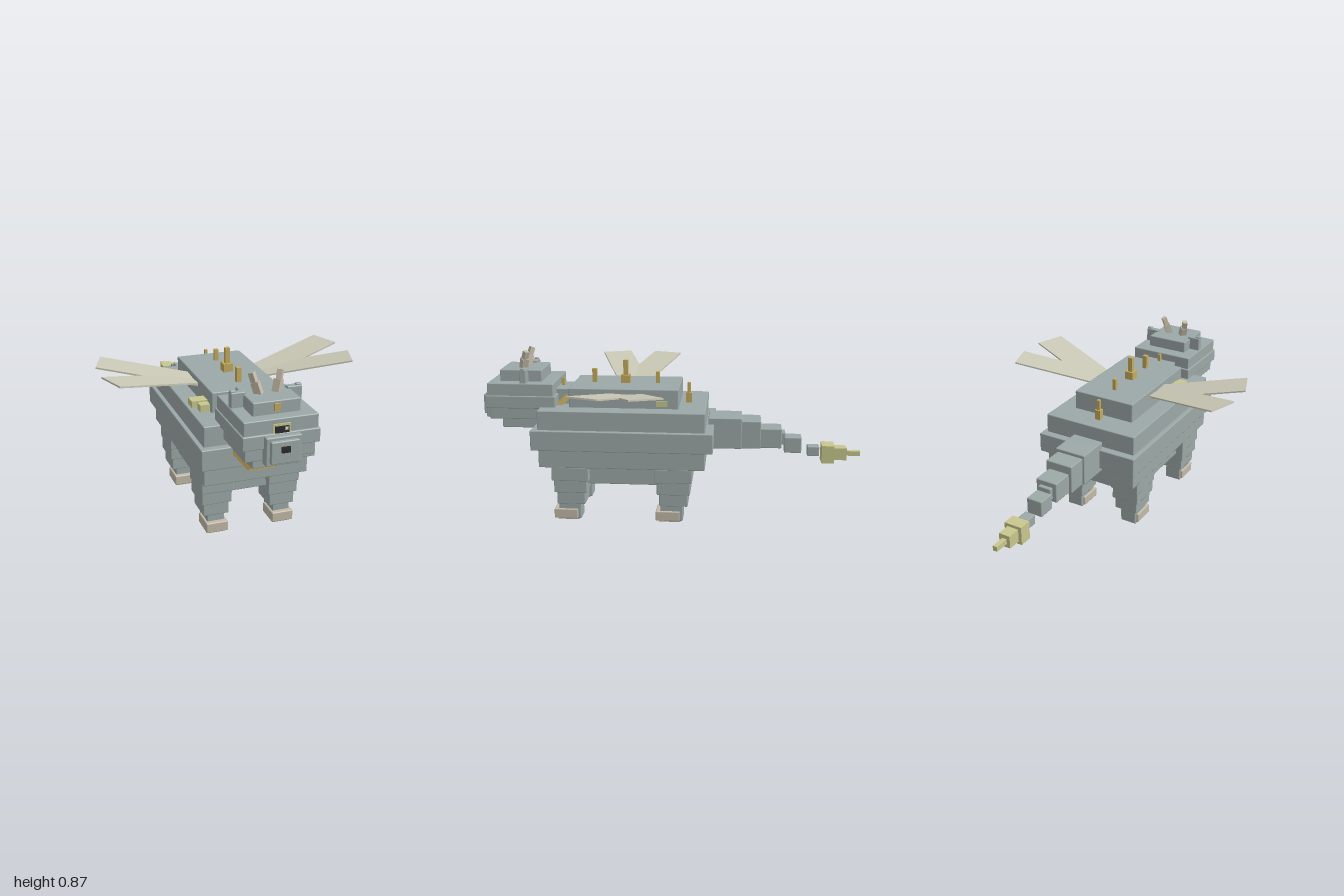
import * as THREE from 'three';
import { RoundedBoxGeometry } from 'three/addons/geometries/RoundedBoxGeometry.js';

const paint = (name, color) => {
  const m = new THREE.MeshStandardMaterial({ color });
  m.name = name;
  return m;
};

export function createModel() {
  const model = new THREE.Group();
  model.name = 'wingedBeast';
  const hide = paint('greyHide', 0x9ca9a7);
  const bone = paint('wingCream', 0xc9c7b5);
  const hoofMat = paint('hoofBeige', 0xc2baa8);
  const gold = paint('gold', 0xc4ab5e);
  const pale = paint('paleYellow', 0xc8c78e);
  const dark = paint('dark', 0x2b2c2c);
  const white = paint('eyeWhite', 0xe8e4d0);

  // Box spanning the given ranges; hide and hooves get a tiny bevel
  const box = (name, mat, [x0, x1], [y0, y1], [z0, z1], parent = model) => {
    const s = [x1 - x0, y1 - y0, z1 - z0];
    const soft = mat === hide || mat === hoofMat;
    const geo = soft ? new RoundedBoxGeometry(...s, 1, 0.005) : new THREE.BoxGeometry(...s);
    const mesh = new THREE.Mesh(geo, mat);
    mesh.position.set((x0 + x1) / 2, (y0 + y1) / 2, (z0 + z1) / 2);
    mesh.name = name;
    parent.add(mesh);
    return mesh;
  };
  // Box centred on x = 0
  const mid = (name, mat, w, y, z, parent) => box(name, mat, [-w, w], y, z, parent);
  // Box on either side, given by its centre x and half width
  const side = (name, mat, s, x, w, y, z, parent) =>
    box(name, mat, [s * x - w, s * x + w], y, z, parent);
  // Square bar between two points
  const bar = (name, mat, a, b, w, d) => {
    const p = new THREE.Vector3(...a), q = new THREE.Vector3(...b);
    const mesh = new THREE.Mesh(new THREE.BoxGeometry(w, d, p.distanceTo(q) + 0.01), mat);
    mesh.position.copy(p).add(q).multiplyScalar(0.5);
    mesh.lookAt(q);
    mesh.name = name;
    model.add(mesh);
  };

  // Stacked torso
  mid('belly', hide, 0.205, [0.2, 0.305], [-0.08, 0.56]);
  mid('lowerBody', hide, 0.26, [0.3, 0.4], [-0.19, 0.665]);
  mid('middleBody', hide, 0.282, [0.395, 0.5], [-0.23, 0.7]);
  mid('upperBody', hide, 0.26, [0.495, 0.6], [-0.19, 0.665]);
  mid('back', hide, 0.171, [0.595, 0.7], [-0.05, 0.515]);

  // Four stepped legs with hooves
  for (const s of [-1, 1]) for (const dz of [0, -0.535]) {
    const leg = new THREE.Group();
    leg.name = dz ? 'backLeg' : 'frontLeg';
    leg.position.z = dz;
    model.add(leg);
    side('thigh', hide, s, 0.17, 0.08, [0.225, 0.3], [0.41, 0.603], leg);
    side('knee', hide, s, 0.17, 0.076, [0.16, 0.23], [0.42, 0.592], leg);
    side('shin', hide, s, 0.17, 0.065, [0.095, 0.165], [0.432, 0.58], leg);
    side('ankle', hide, s, 0.17, 0.044, [0.008, 0.1], [0.458, 0.575], leg);
    side('hoof', hoofMat, s, 0.17, 0.055, [0.01, 0.062], [0.475, 0.6], leg);
    side('sole', hoofMat, s, 0.17, 0.042, [0, 0.015], [0.47, 0.585], leg);
  }

  // Neck and stacked head
  mid('neck', hide, 0.09, [0.5, 0.68], [0.5, 0.62]);
  mid('jaw', hide, 0.11, [0.47, 0.535], [0.67, 0.885]);
  mid('cheeks', hide, 0.165, [0.53, 0.595], [0.6, 0.935]);
  mid('muzzleBand', hide, 0.181, [0.59, 0.656], [0.585, 0.95]);
  mid('brow', hide, 0.174, [0.65, 0.72], [0.595, 0.94]);
  mid('crown', hide, 0.112, [0.715, 0.78], [0.665, 0.885]);
  mid('snout', hide, 0.083, [0.518, 0.65], [0.93, 0.976]);
  mid('snoutTip', hide, 0.066, [0.532, 0.636], [0.97, 0.993]);
  mid('nose', dark, 0.02, [0.584, 0.612], [0.992, 1]);
  mid('foreheadGem', gold, 0.014, [0.735, 0.768], [0.884, 0.893]);

  // Single front eye in a frame
  mid('eyeFrame', pale, 0.041, [0.656, 0.697], [0.938, 0.945]);
  mid('eye', dark, 0.032, [0.657, 0.687], [0.944, 0.951]);
  box('eyeGlint', white, [0.012, 0.026], [0.67, 0.684], [0.95, 0.954]);

  // Ears and bent horns
  for (const s of [-1, 1]) {
    side('ear', hide, s, 0.133, 0.036, [0.715, 0.79], [0.735, 0.77]);
    side('earTip', hide, s, 0.155, 0.014, [0.715, 0.798], [0.742, 0.763]);
    bar('hornBase', hoofMat, [s * 0.043, 0.78, 0.775], [s * 0.055, 0.825, 0.765], 0.034, 0.034);
    bar('hornTip', hoofMat, [s * 0.057, 0.825, 0.765], [s * 0.067, 0.865, 0.753], 0.025, 0.025);
  }

  // Collar looped round the neck
  const loop = [[0.06, 0.4, 0.725], [0.128, 0.485, 0.685], [0.128, 0.56, 0.62], [0.095, 0.64, 0.535]];
  for (const s of [-1, 1])
    for (let i = 0; i < loop.length - 1; i++) {
      const [a, b] = [loop[i], loop[i + 1]].map(([x, y, z]) => [s * x, y, z]);
      bar('collar', gold, a, b, 0.028, 0.024);
    }
  bar('collarFront', gold, [-0.06, 0.4, 0.725], [0.06, 0.4, 0.725], 0.028, 0.024);

  // Spikes along the spine: z, half width, bottom, top
  for (const [z, w, y0, y1] of [
    [0.575, 0.008, 0.67, 0.72], [0.405, 0.012, 0.69, 0.772],
    [0.24, 0.024, 0.69, 0.742], [0.24, 0.012, 0.74, 0.82],
    [0.07, 0.01, 0.69, 0.76], [-0.095, 0.015, 0.59, 0.652], [-0.095, 0.008, 0.65, 0.706],
  ]) mid('spineSpike', gold, w, [y0, y1], [z - w, z + w]);

  // Pouch on the right flank, patch on the left
  box('pouch', pale, [-0.248, -0.17], [0.61, 0.642], [0.39, 0.45]);
  box('pouchEnd', pale, [-0.22, -0.168], [0.598, 0.635], [0.45, 0.492]);
  box('sidePatch', pale, [0.168, 0.182], [0.614, 0.64], [0.005, 0.065]);

  // Forked wings, two planks per side
  const turn = 0.33, rise = 0.178, len = 0.53;
  for (const s of [-1, 1]) {
    const wing = new THREE.Group();
    wing.name = s > 0 ? 'leftWing' : 'rightWing';
    model.add(wing);
    for (const f of [-1, 1]) {
      const plank = new THREE.Mesh(new THREE.BoxGeometry(len, 0.008, 0.164), bone);
      plank.name = 'wingPlank';
      plank.rotation.order = 'YZX';
      plank.rotation.set(0, s > 0 ? -f * turn : Math.PI + f * turn, rise);
      const flat = Math.cos(rise) * len / 2;
      plank.position.set(
        s * (0.613 - Math.cos(turn) * flat),
        0.752 - Math.sin(rise) * len / 2,
        0.218 + f * (0.15 - Math.sin(turn) * flat)
      );
      wing.add(plank);
    }
  }

  // Tapering tail: half width, bottom, top, back z, front z
  for (const [w, y0, y1, z0, z1] of [
    [0.085, 0.37, 0.535, -0.375, -0.2], [0.074, 0.37, 0.518, -0.475, -0.355],
    [0.058, 0.37, 0.475, -0.585, -0.465], [0.036, 0.385, 0.45, -0.605, -0.575],
    [0.042, 0.342, 0.426, -0.69, -0.6], [0.028, 0.322, 0.375, -0.785, -0.722],
  ]) mid('tailSegment', hide, w, [y0, y1], [z0, z1]);
  mid('tailBulb', pale, 0.047, [0.29, 0.385], [-0.862, -0.797]);
  mid('tailBulbEnd', pale, 0.03, [0.305, 0.37], [-0.928, -0.86]);
  mid('tailTip', pale, 0.012, [0.325, 0.35], [-1, -0.926]);

  return model;
}
